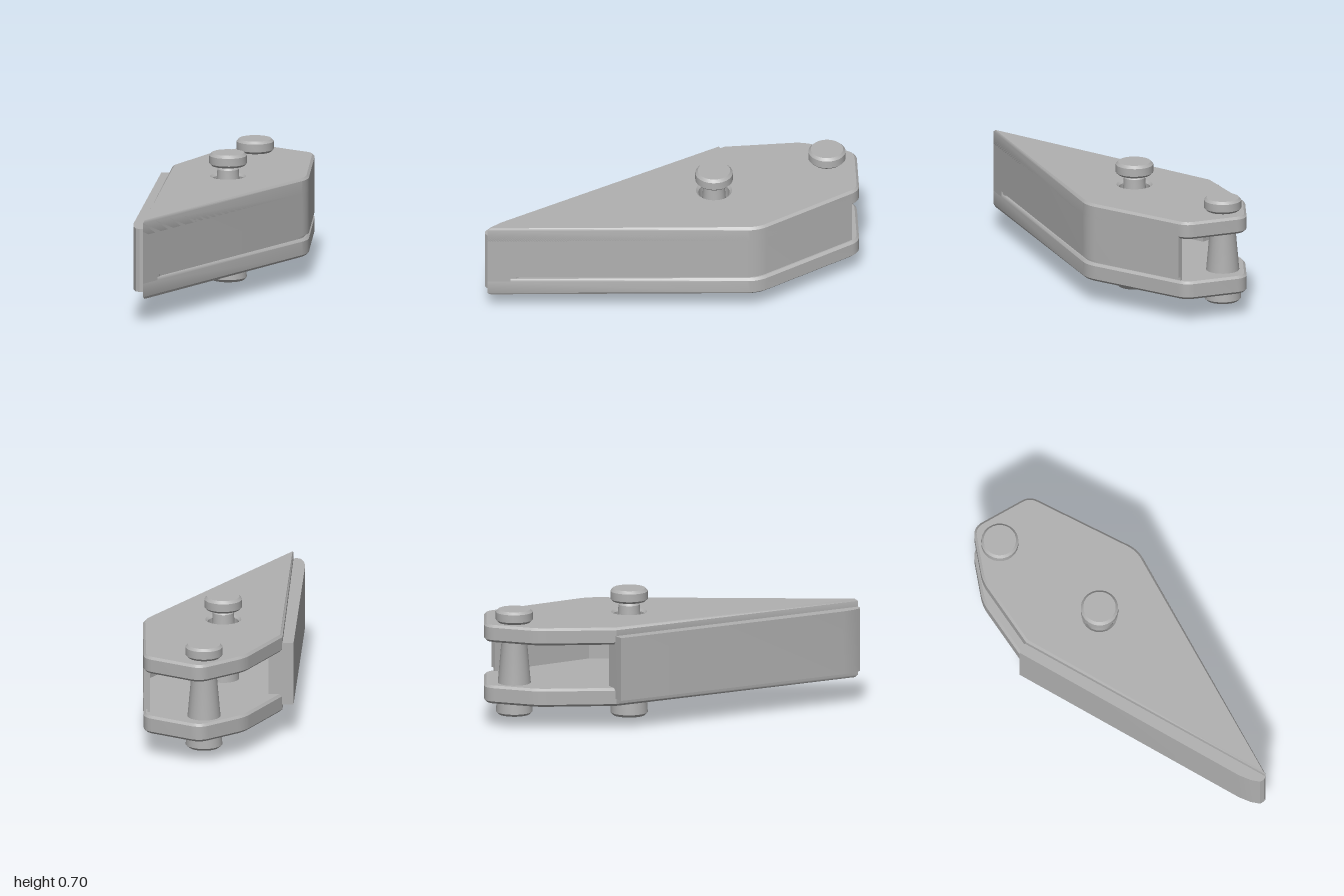
import * as THREE from 'three';
import { toCreasedNormals } from 'three/addons/utils/BufferGeometryUtils.js';

const V = (x, z) => new THREE.Vector2(x, z);

// Plan corners (x, z) with the rounding distance of each
const CORNERS = [
  [V(-0.03, -1.005), 0.05], [V(0.375, -0.48), 0.06], [V(0.46, 0.985), 0],
  [V(-0.4, -0.25), 0], [V(-0.465, -0.67), 0.05], [V(-0.385, -0.97), 0.06],
];
const PIVOT = V(0.025, -0.22);
const REAR = V(-0.295, -0.815);

// Point on the way from a to b at distance d
const toward = (a, b, d) => b.clone().sub(a).setLength(d).add(a);

function plateShape(holes) {
  const shape = new THREE.Shape();
  const n = CORNERS.length;
  CORNERS.forEach(([p, r], i) => {
    const a = r ? toward(p, CORNERS[(i + n - 1) % n][0], r) : p;
    const b = r ? toward(p, CORNERS[(i + 1) % n][0], r) : p;
    if (i === 0) shape.moveTo(a.x, a.y); else shape.lineTo(a.x, a.y);
    if (r) shape.quadraticCurveTo(p.x, p.y, b.x, b.y);
  });
  shape.closePath();
  for (const [c, r] of holes) {
    shape.holes.push(new THREE.Path().absarc(c.x, c.y, r, 0, Math.PI * 2, true));
  }
  return shape;
}

// Side wall following the two left-hand edges, between two inset distances
function wallShape(outer, inner) {
  const [a, b, t] = CORNERS.slice(0, 3).map((c) => c[0]);
  const d1 = b.clone().sub(a).normalize();
  const d2 = t.clone().sub(b).normalize();
  const n1 = V(-d1.y, d1.x);
  const n2 = V(-d2.y, d2.x);
  const miter = n1.clone().add(n2).divideScalar(1 + n1.dot(n2));
  const line = (d, tail) => [
    a.clone().addScaledVector(d1, 0.05).addScaledVector(n1, d),
    b.clone().addScaledVector(miter, d),
    t.clone().addScaledVector(d2, -tail).addScaledVector(n2, d),
  ];
  const [p0, p1, p2] = line(outer, outer ? 0.1 : 0);
  const [q0, q1, q2] = line(inner, 0.1);
  const c0 = toward(p1, p0, 0.06);
  const c1 = toward(p1, p2, 0.06);
  const shape = new THREE.Shape();
  shape.moveTo(p0.x, p0.y);
  shape.lineTo(c0.x, c0.y);
  shape.quadraticCurveTo(p1.x, p1.y, c1.x, c1.y);
  for (const p of [p2, q2, q1, q0]) shape.lineTo(p.x, p.y);
  shape.closePath();
  return shape;
}

// Stands a plan shape up between two heights, with optional chamfers
function slab(shape, y0, y1, chamfer = 0) {
  const geo = new THREE.ExtrudeGeometry(shape, {
    depth: y1 - y0 - 2 * chamfer,
    bevelEnabled: chamfer > 0,
    bevelThickness: chamfer,
    bevelSize: chamfer,
    bevelOffset: -chamfer,
    bevelSegments: 1,
    curveSegments: 10,
  });
  geo.rotateX(Math.PI / 2).translate(0, y1 - chamfer, 0);
  return toCreasedNormals(geo, 0.45);
}

// Turned pin from [radius, height] pairs, bottom to top
function pin(profile, at) {
  const geo = new THREE.LatheGeometry(profile.map(([r, y]) => V(r, y)), 24);
  return toCreasedNormals(geo, 0.45).translate(at.x, 0, at.y);
}

export function createModel() {
  const group = new THREE.Group();
  const grey = new THREE.MeshStandardMaterial({ color: 0xb0b0b0 });
  grey.name = 'grey';
  const add = (name, geo) => {
    const mesh = new THREE.Mesh(geo, grey);
    mesh.name = name;
    group.add(mesh);
  };

  // Two chamfered plates, the upper one bored for the pivot
  add('bottomPlate', slab(plateShape([]), 0.135, 0.235, 0.013));
  add('topPlate', slab(plateShape([[PIVOT, 0.085]]), 0.475, 0.57, 0.013));

  // Left wall above a shallow groove, which is closed at the front
  add('sideWall', slab(wallShape(0, 0.035), 0.253, 0.555));
  add('grooveFloor', slab(wallShape(0.02, 0.035), 0.2, 0.3));
  const plug = [V(0.4527, 0.86), V(0.46, 0.985), V(0.42, 0.91), V(0.41, 0.86)];
  add('grooveEnd', slab(new THREE.Shape(plug), 0.15, 0.3));

  // Thick bar along the slanted right edge, with a blunted tip
  const bar = [
    V(-0.452, -0.22), V(-0.4, -0.257), V(-0.34, -0.297), V(0.44, 0.83), V(0.458, 0.985),
    V(0.443, 0.998), V(0.42, 1), V(0.38, 0.972), V(0.33, 0.917),
  ];
  add('edgeBar', slab(new THREE.Shape(bar), 0.177, 0.525));

  // Tapered pivot pin with a raised head
  add('pivotPin', pin([
    [0, 0], [0.088, 0], [0.102, 0.015], [0.095, 0.135], [0.06, 0.575], [0.058, 0.61],
    [0.043, 0.63], [0.09, 0.63], [0.102, 0.642], [0.102, 0.685], [0.088, 0.7], [0, 0.7],
  ], PIVOT));

  // Rear pin with its head resting on the top plate
  add('rearPin', pin([
    [0, 0.062], [0.085, 0.062], [0.1, 0.076], [0.096, 0.14], [0.09, 0.235], [0.068, 0.48],
    [0.068, 0.571], [0.088, 0.571], [0.101, 0.584], [0.101, 0.627], [0.088, 0.641], [0, 0.641],
  ], REAR));

  return group;
}
